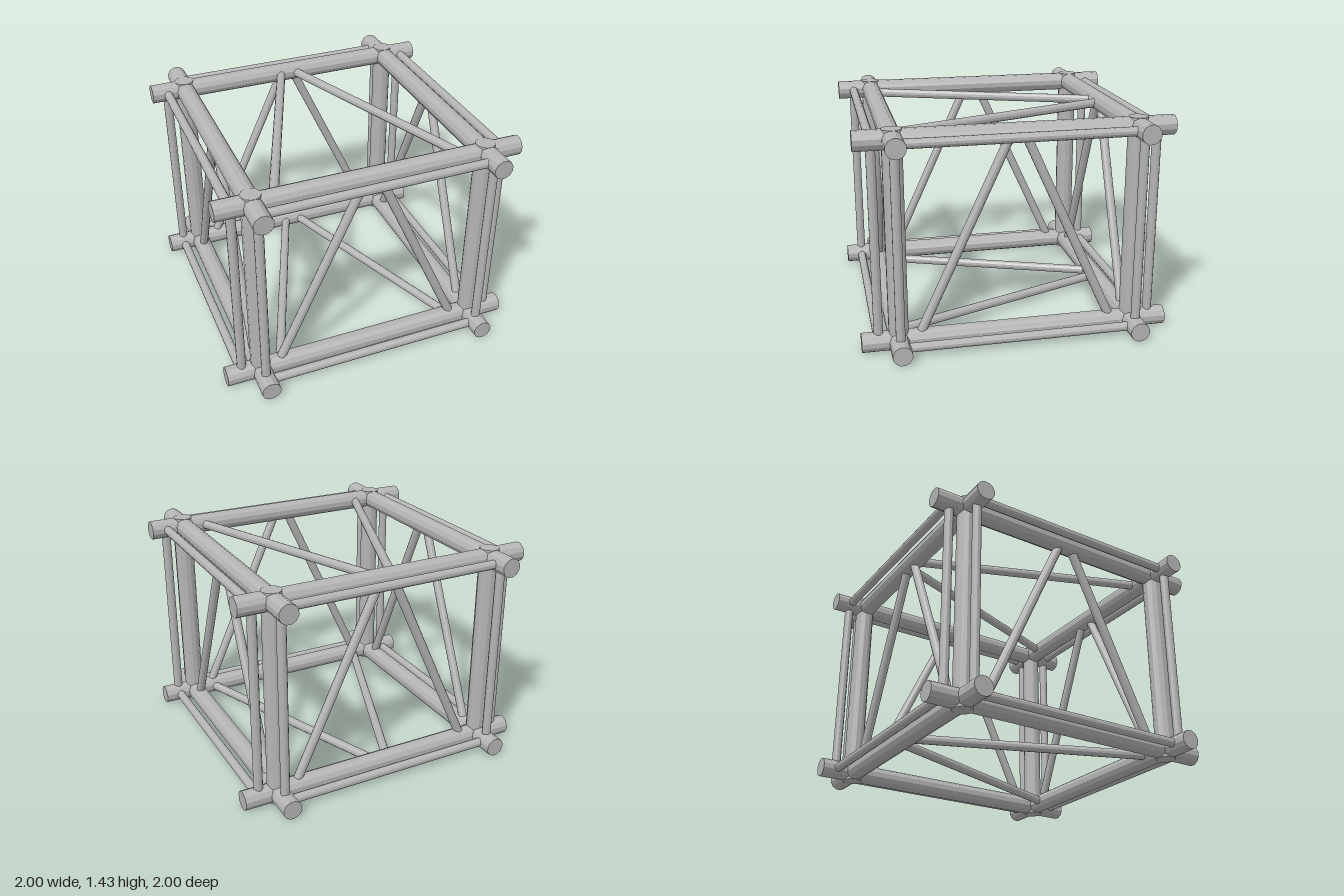
import * as THREE from 'three';

const UP = new THREE.Vector3(0, 1, 0);

export function createModel() {
  const group = new THREE.Group();
  const steel = new THREE.MeshStandardMaterial({ color: 0xb4b4b4 });
  steel.name = 'steelGray';

  // Faceted round bar between two points
  function bar(name, a, b, radius) {
    const from = new THREE.Vector3(...a), to = new THREE.Vector3(...b);
    const dir = to.clone().sub(from);
    const shape = new THREE.CylinderGeometry(radius, radius, dir.length(), 12);
    shape.rotateY(Math.PI / 12);
    const flat = shape.toNonIndexed();
    flat.computeVertexNormals();
    const mesh = new THREE.Mesh(flat, steel);
    mesh.name = name;
    mesh.position.copy(from).add(to).multiplyScalar(0.5);
    mesh.quaternion.setFromUnitVectors(UP, dir.normalize());
    group.add(mesh);
  }

  const R = 0.064, r = 0.03;           // beam and rod radii
  const C = 0.765, OUT = 0.892;        // beam axis and outer rod offsets
  const LOW = 0.067, HIGH = 1.373;     // beam heights

  for (const s of [-1, 1]) {
    // Horizontal beams and the rods running outside them
    for (const y of [LOW, HIGH]) {
      bar('beamAcross', [-1, y, s * C], [1, y, s * C], R);
      bar('beamLengthwise', [s * C, y, -1], [s * C, y, 1], R);
      bar('outerRodAcross', [-0.73, y, s * OUT], [0.73, y, s * OUT], r);
      bar('outerRodLengthwise', [s * OUT, y, -0.73], [s * OUT, y, 0.73], r);
      // Diagonals of the floor and roof, meeting at the back beam
      bar('horizontalBrace', [s * 0.618, y, 0.735], [s * 0.053, y, -0.735], r);
    }
    // Corner posts, each with two outer rods
    for (const t of [-1, 1]) {
      bar('cornerPost', [s * C, 0.003, t * C], [s * C, 1.437, t * C], R);
      bar('uprightRod', [s * OUT, 0.1, t * C], [s * OUT, 1.34, t * C], r);
      bar('uprightRod', [s * C, 0.1, t * OUT], [s * C, 1.34, t * OUT], r);
      // Diagonals of the four walls, meeting at the top beams
      bar('wallBrace', [s * 0.625, 0.1, t * C], [s * 0.055, 1.34, t * C], r);
      bar('wallBrace', [t * C, 0.1, s * 0.625], [t * C, 1.34, s * 0.055], r);
    }
  }
  return group;
}
